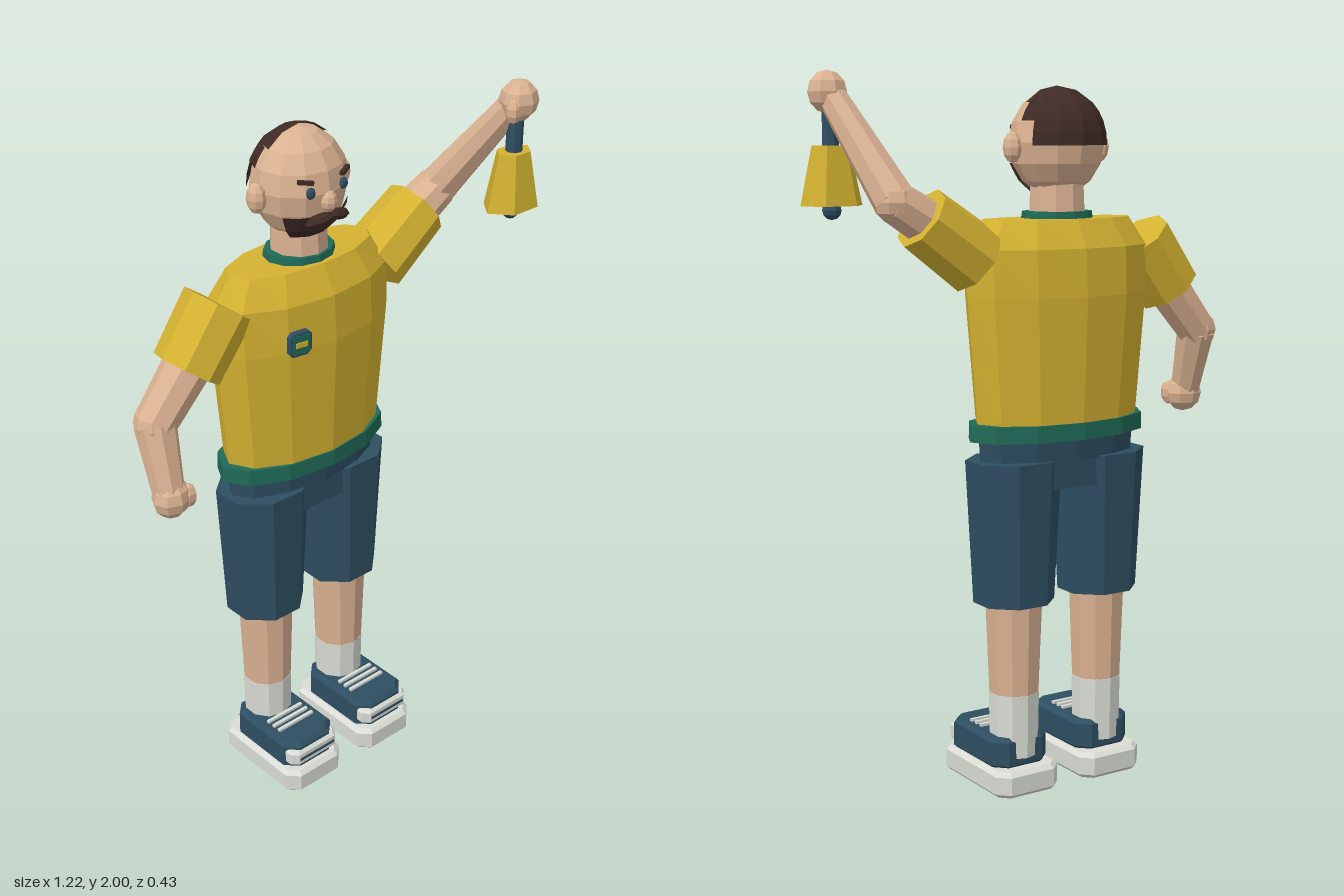
import * as THREE from 'three';

const mat = (name, color) => {
  const m = new THREE.MeshStandardMaterial({ color, flatShading: true, side: THREE.DoubleSide });
  m.name = name;
  return m;
};

const CX = -0.06, CZ = -0.063; // body axis

export function createModel() {
  const skin = mat('skin', 0xdbb292), yellow = mat('yellow', 0xd4b231), green = mat('green', 0x1f6a57);
  const navy = mat('navy', 0x2e4e62), white = mat('white', 0xdadcd5), hair = mat('hair', 0x3f2a25);
  const root = new THREE.Group();
  root.name = 'man';

  const add = (name, geo, m, x = 0, y = 0, z = 0, parent = root) => {
    const mesh = new THREE.Mesh(geo, m);
    mesh.name = name;
    mesh.position.set(x, y, z);
    parent.add(mesh);
    return mesh;
  };

  // stacked elliptical rings [halfWidth, y, halfDepth], closed at both ends
  const rings = (list, sides, turn = 0) => {
    const all = [[0.0001, list[0][1], 0.0001], ...list, [0.0001, list.at(-1)[1], 0.0001]];
    const geo = new THREE.LatheGeometry(all.map(([r, y]) => new THREE.Vector2(r, y)), sides, turn);
    const p = geo.attributes.position;
    for (let i = 0; i < p.count; i++) {
      const [rx, , rz] = all[i % all.length];
      p.setZ(i, p.getZ(i) * rz / rx);
    }
    return geo;
  };

  // tapered limb between two points
  const limb = (name, a, b, ra, rb, m, sides = 8) => {
    const A = new THREE.Vector3(...a), B = new THREE.Vector3(...b), d = B.clone().sub(A);
    const mesh = add(name, new THREE.CylinderGeometry(rb, ra, d.length(), sides), m);
    mesh.position.copy(A).add(B).multiplyScalar(0.5);
    mesh.quaternion.setFromUnitVectors(new THREE.Vector3(0, 1, 0), d.normalize());
    return mesh;
  };

  const ball = (name, pos, scale, m, w = 8, h = 6, parent = root) => {
    const mesh = add(name, new THREE.SphereGeometry(1, w, h), m, ...pos, parent);
    mesh.scale.set(...scale);
    return mesh;
  };

  // block with cut corners and bevelled rims, resting on y = 0
  const slab = (w, h, d, cut, bevel) => {
    const x = w / 2 - bevel, z = d / 2 - bevel;
    const outline = [[x - cut, -z], [x, cut - z], [x, z - cut], [x - cut, z],
      [cut - x, z], [-x, z - cut], [-x, cut - z], [cut - x, -z]];
    const geo = new THREE.ExtrudeGeometry(new THREE.Shape(outline.map(p => new THREE.Vector2(...p))), {
      depth: h - 2 * bevel, bevelSize: bevel, bevelThickness: bevel, bevelSegments: 1 });
    return geo.rotateX(-Math.PI / 2).translate(0, bevel, 0);
  };

  // shirt, hem and collar
  add('shirt', rings([[0.257, 1.04, 0.134], [0.273, 1.22, 0.142], [0.289, 1.4, 0.15],
    [0.291, 1.53, 0.142], [0.24, 1.607, 0.1]], 12), yellow, CX, 0, CZ);
  add('hem', rings([[0.283, 1.008, 0.139], [0.281, 1.055, 0.138]], 12), green, CX, 0, CZ);
  add('collar', rings([[0.104, 1.6, 0.088], [0.1, 1.626, 0.085]], 12), green, CX, 0, CZ);
  add('neck', new THREE.CylinderGeometry(0.074, 0.08, 0.14, 10), skin, CX, 1.67, CZ);

  // chest badge
  const badge = new THREE.Group();
  badge.name = 'badge';
  badge.position.set(-0.185, 1.435, 0.074);
  badge.rotation.y = -0.12;
  root.add(badge);
  add('badgeFrame', slab(0.07, 0.018, 0.07, 0.01, 0.003).rotateX(Math.PI / 2), navy, 0, 0, 0, badge);
  add('badgeField', new THREE.BoxGeometry(0.052, 0.052, 0.004), green, 0, 0, 0.018, badge);
  add('badgeBar', new THREE.BoxGeometry(0.036, 0.014, 0.004), yellow, 0, 0, 0.021, badge);

  // head
  const head = new THREE.Group();
  head.name = 'head';
  head.position.set(CX, 1.81, -0.06);
  root.add(head);
  ball('skull', [0, 0, 0], [0.135, 0.147, 0.122], skin, 12, 8, head);
  const patch = (name, phi, phiLen, th, thLen, scale, w, h, z = 0) => {
    const r = THREE.MathUtils.degToRad;
    const mesh = add(name, new THREE.SphereGeometry(1, w, h, r(phi), r(phiLen), r(th), r(thLen)), hair, 0, 0, z, head);
    mesh.scale.set(...scale);
  };
  const shell = [0.141, 0.152, 0.132];
  patch('hairCrown', 180, 180, 0, 45, shell, 6, 2);
  patch('hairUpperBack', 190, 160, 45, 22.5, shell, 6, 1);
  patch('hairLowerBack', 210, 120, 67.5, 25, shell, 4, 1);
  patch('beard', 32, 116, 111, 57, [0.14, 0.156, 0.13], 6, 3);
  for (const s of [-1, 1]) {
    ball('ear', [s * 0.143, -0.012, 0], [0.026, 0.042, 0.028], skin, 8, 6, head);
    ball('eye', [s * 0.055, 0.01, 0.11], [0.014, 0.016, 0.01], navy, 8, 6, head);
    const brow = add('eyebrow', new THREE.BoxGeometry(0.042, 0.01, 0.012), hair, s * 0.066, 0.04, 0.103, head);
    brow.rotation.set(0, s * 0.45, s * 0.15);
    const whisker = ball('moustache', [s * 0.033, -0.066, 0.117], [0.042, 0.016, 0.02], hair, 8, 4, head);
    whisker.rotation.set(0, s * 0.25, -s * 0.2);
  }
  ball('nose', [0, -0.022, 0.115], [0.024, 0.03, 0.024], skin, 8, 6, head);

  // raised left arm
  limb('leftSleeve', [0.2, 1.5, -0.06], [0.365, 1.617, -0.058], 0.098, 0.09, yellow);
  limb('leftUpperArm', [0.3, 1.575, -0.058], [0.44, 1.66, -0.052], 0.066, 0.058, skin);
  ball('leftElbow', [0.44, 1.66, -0.052], [0.058, 0.058, 0.058], skin);
  limb('leftForearm', [0.44, 1.66, -0.052], [0.515, 1.925, 0.14], 0.058, 0.04, skin);
  ball('leftHand', [0.523, 1.943, 0.157], [0.056, 0.057, 0.053], skin);
  ball('leftThumb', [0.485, 1.925, 0.175], [0.024, 0.035, 0.024], skin, 6, 5);

  // lowered right arm
  limb('rightSleeve', [-0.335, 1.545, -0.06], [-0.447, 1.395, -0.06], 0.098, 0.094, yellow);
  limb('rightUpperArm', [-0.4, 1.455, -0.06], [-0.55, 1.27, -0.068], 0.068, 0.058, skin);
  ball('rightElbow', [-0.55, 1.27, -0.068], [0.058, 0.058, 0.058], skin);
  limb('rightForearm', [-0.55, 1.27, -0.068], [-0.56, 1.09, -0.01], 0.058, 0.044, skin);
  ball('rightHand', [-0.556, 1.075, -0.005], [0.056, 0.056, 0.05], skin);
  ball('rightThumb', [-0.515, 1.075, 0.015], [0.022, 0.035, 0.024], skin, 6, 5);

  // hand bell
  const bell = new THREE.Group();
  bell.name = 'handBell';
  bell.position.set(0.517, 0, 0.155);
  root.add(bell);
  add('bellHandle', new THREE.CylinderGeometry(0.023, 0.023, 0.14, 8), navy, 0, 1.86, 0, bell);
  add('bellBody', rings([[0.092, 1.645, 0.067], [0.056, 1.803, 0.041]], 6, Math.PI / 6), yellow, 0, 0, 0, bell);
  ball('clapper', [0, 1.633, 0], [0.028, 0.026, 0.026], navy, 8, 6, bell);

  // shorts
  add('waist', rings([[0.25, 0.945, 0.108], [0.256, 1.02, 0.114]], 12), navy, CX, 0, CZ);
  add('crotch', new THREE.BoxGeometry(0.2, 0.14, 0.19), navy, CX, 0.938, CZ);

  // legs and shoes, mirrored about the body axis
  for (const s of [-1, 1]) {
    const x = CX + s * 0.142;
    add('shortsLeg', rings([[0.117, 0.545, 0.109], [0.14, 0.95, 0.121]], 8, Math.PI / 8), navy, x, 0, CZ);
    add('shin', rings([[0.072, 0.28, 0.072], [0.084, 0.56, 0.079]], 10), skin, x, 0, CZ);
    add('sock', rings([[0.07, 0.1, 0.07], [0.074, 0.283, 0.073]], 10), white, x, 0, CZ);
    add('sole', slab(0.207, 0.075, 0.335, 0.025, 0.012), white, x, 0, 0.006);
    add('shoeUpper', slab(0.184, 0.092, 0.276, 0.03, 0.012), navy, x, 0.07, 0.015);
    add('toeCap', slab(0.176, 0.05, 0.06, 0.015, 0.008), white, x, 0.092, 0.133);
    add('toeStripe', new THREE.BoxGeometry(0.13, 0.008, 0.006), navy, x, 0.117, 0.162);
    for (const z of [0.015, 0.04, 0.065]) {
      add('lace', new THREE.BoxGeometry(0.13, 0.012, 0.01), white, x, 0.164, z);
    }
  }
  return root;
}
